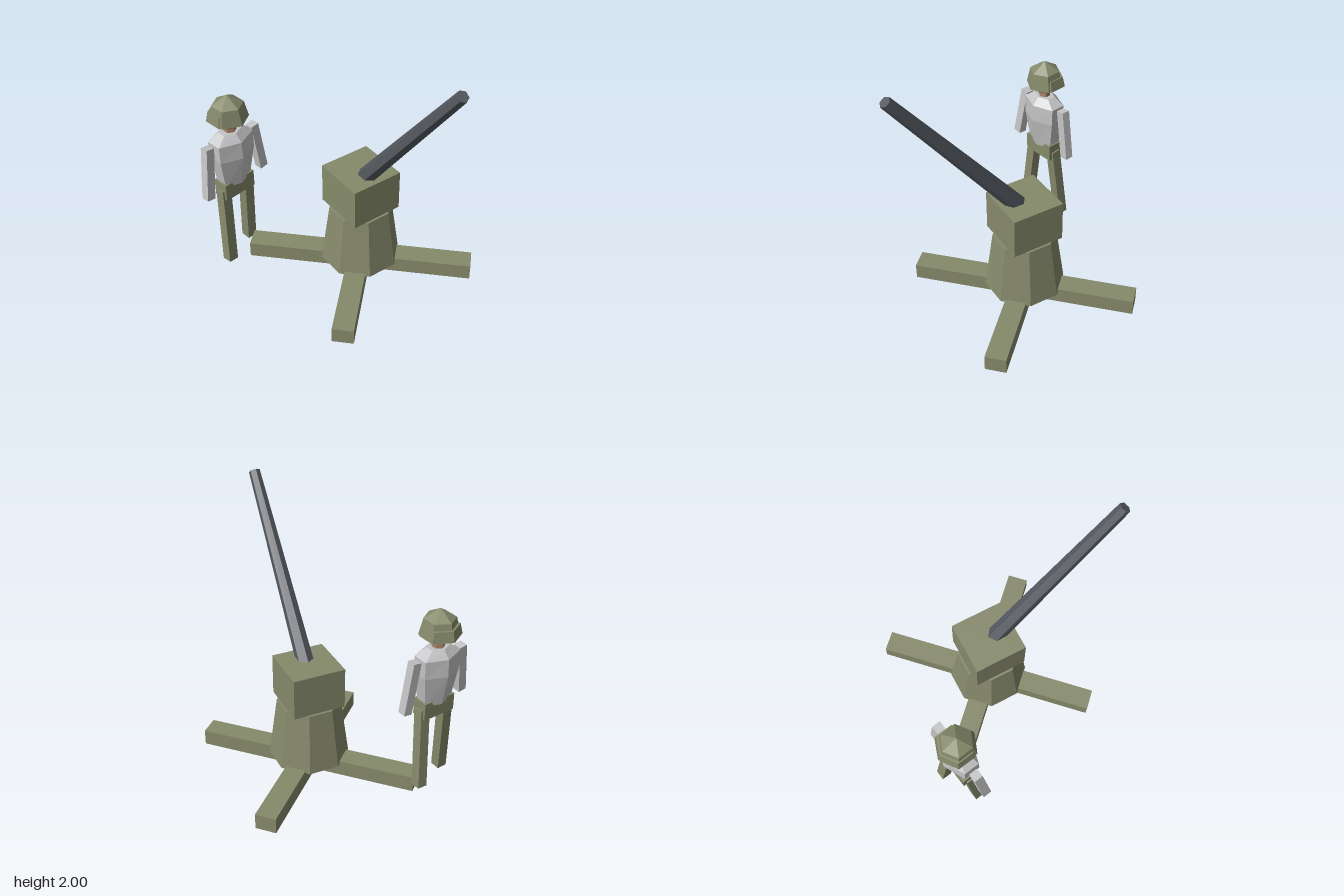
import * as THREE from 'three';

const mat = (name, color) => Object.assign(new THREE.MeshStandardMaterial({ color }), { name });

export function createModel() {
  const green = mat('olive green', 0x868a6b);
  const steel = mat('gun steel', 0x565b61);
  const cloth = mat('light grey cloth', 0xc4c4c6);
  const skin = mat('skin', 0xac866b);
  const UP = new THREE.Vector3(0, 1, 0);

  // Flat-shaded mesh
  const add = (parent, name, geometry, material, x = 0, y = 0, z = 0) => {
    const geo = geometry.index ? geometry.toNonIndexed() : geometry;
    geo.computeVertexNormals();
    const mesh = new THREE.Mesh(geo, material);
    mesh.name = name;
    mesh.position.set(x, y, z);
    parent.add(mesh);
    return mesh;
  };

  // Square limb running between two points
  const limb = (parent, name, material, width, from, to) => {
    const a = new THREE.Vector3(...from), b = new THREE.Vector3(...to);
    const dir = b.clone().sub(a);
    const mid = a.clone().add(b).multiplyScalar(0.5);
    const mesh = add(parent, name, new THREE.BoxGeometry(width, dir.length(), width), material, mid.x, mid.y, mid.z);
    mesh.quaternion.setFromUnitVectors(UP, dir.normalize().multiplyScalar(dir.y < 0 ? -1 : 1));
    return mesh;
  };

  // Faceted solid of stacked rings: [y, radiusX, radiusZ], bottom to top
  const stack = (rings, sides) => {
    const pos = [];
    const point = ([y, rx, rz], i) => {
      const t = (i / sides) * Math.PI * 2;
      return [Math.sin(t) * rx, y, Math.cos(t) * rz];
    };
    const first = rings[0], last = rings[rings.length - 1];
    for (let i = 0; i < sides; i++) {
      for (let r = 0; r < rings.length - 1; r++) {
        const a = point(rings[r], i), b = point(rings[r], i + 1);
        const c = point(rings[r + 1], i + 1), d = point(rings[r + 1], i);
        pos.push(...a, ...b, ...c, ...a, ...c, ...d);
      }
      pos.push(0, first[0], 0, ...point(first, i + 1), ...point(first, i));
      pos.push(0, last[0], 0, ...point(last, i), ...point(last, i + 1));
    }
    const geo = new THREE.BufferGeometry();
    geo.setAttribute('position', new THREE.Float32BufferAttribute(pos, 3));
    return geo;
  };

  const model = new THREE.Group();
  model.name = 'gunAndSoldier';

  // Gun on its cross-shaped base
  const gun = new THREE.Group();
  gun.name = 'gun';
  gun.position.set(0.094, 0, -0.003);
  gun.rotation.y = THREE.MathUtils.degToRad(10);
  model.add(gun);
  add(gun, 'baseBeamAcross', new THREE.BoxGeometry(1.652, 0.12, 0.153), green, 0, 0.06, 0);
  add(gun, 'baseBeamAlong', new THREE.BoxGeometry(0.153, 0.12, 1.652), green, 0, 0.06, 0);
  add(gun, 'pedestal', new THREE.CylinderGeometry(0.23, 0.293, 0.46, 8), green, 0, 0.33, 0)
    .rotation.y = Math.PI / 8;
  const turret = new THREE.Group();
  turret.name = 'turret';
  turret.rotation.y = Math.PI / 4;
  gun.add(turret);
  add(turret, 'gunHousing', new THREE.BoxGeometry(0.39, 0.31, 0.39), green, 0, 0.713, 0);

  // Raised six-sided barrel
  const elevation = THREE.MathUtils.degToRad(52);
  const length = 1.525;
  add(turret, 'barrel', new THREE.CylinderGeometry(0.041, 0.065, length, 6), steel,
    0, 0.77 + Math.sin(elevation) * length / 2, Math.cos(elevation) * length / 2)
    .rotation.x = Math.PI / 2 - elevation;

  // Soldier looking toward the gun
  const soldier = new THREE.Group();
  soldier.name = 'soldier';
  soldier.position.set(-0.783, 0, 0.217);
  soldier.rotation.y = THREE.MathUtils.degToRad(65);
  model.add(soldier);
  add(soldier, 'pelvis', new THREE.BoxGeometry(0.26, 0.13, 0.12), green, 0, 0.695, 0);
  add(soldier, 'torso', stack([
    [0.73, 0.13, 0.08], [0.97, 0.175, 0.122], [1.1, 0.175, 0.115], [1.155, 0.09, 0.065],
  ], 6), cloth);
  add(soldier, 'neck', new THREE.CylinderGeometry(0.045, 0.045, 0.1, 6), skin, 0, 1.18, 0);
  add(soldier, 'head', stack([[1.2, 0.066, 0.066], [1.24, 0.085, 0.085], [1.34, 0.085, 0.085]], 6), skin);
  add(soldier, 'helmet', stack([[1.25, 0.14, 0.14], [1.37, 0.112, 0.112], [1.44, 0.001, 0.001]], 6), green);
  add(soldier, 'helmetNeckGuard', stack([[1.248, 0.15, 0.135], [1.325, 0.132, 0.118]], 6), green, 0, 0, -0.018);

  // Arms and striding legs
  for (const [side, s] of [['left', 1], ['right', -1]]) {
    limb(soldier, side + 'Arm', cloth, 0.064, [s * 0.2, 1.1, -0.005], [s * 0.257, 0.71, s < 0 ? 0.025 : 0]);
    limb(soldier, side + 'Leg', green, 0.075, [s * 0.104, 0.695, 0], [s * 0.138, 0.078, s < 0 ? 0.047 : -0.06]);
  }
  return model;
}
